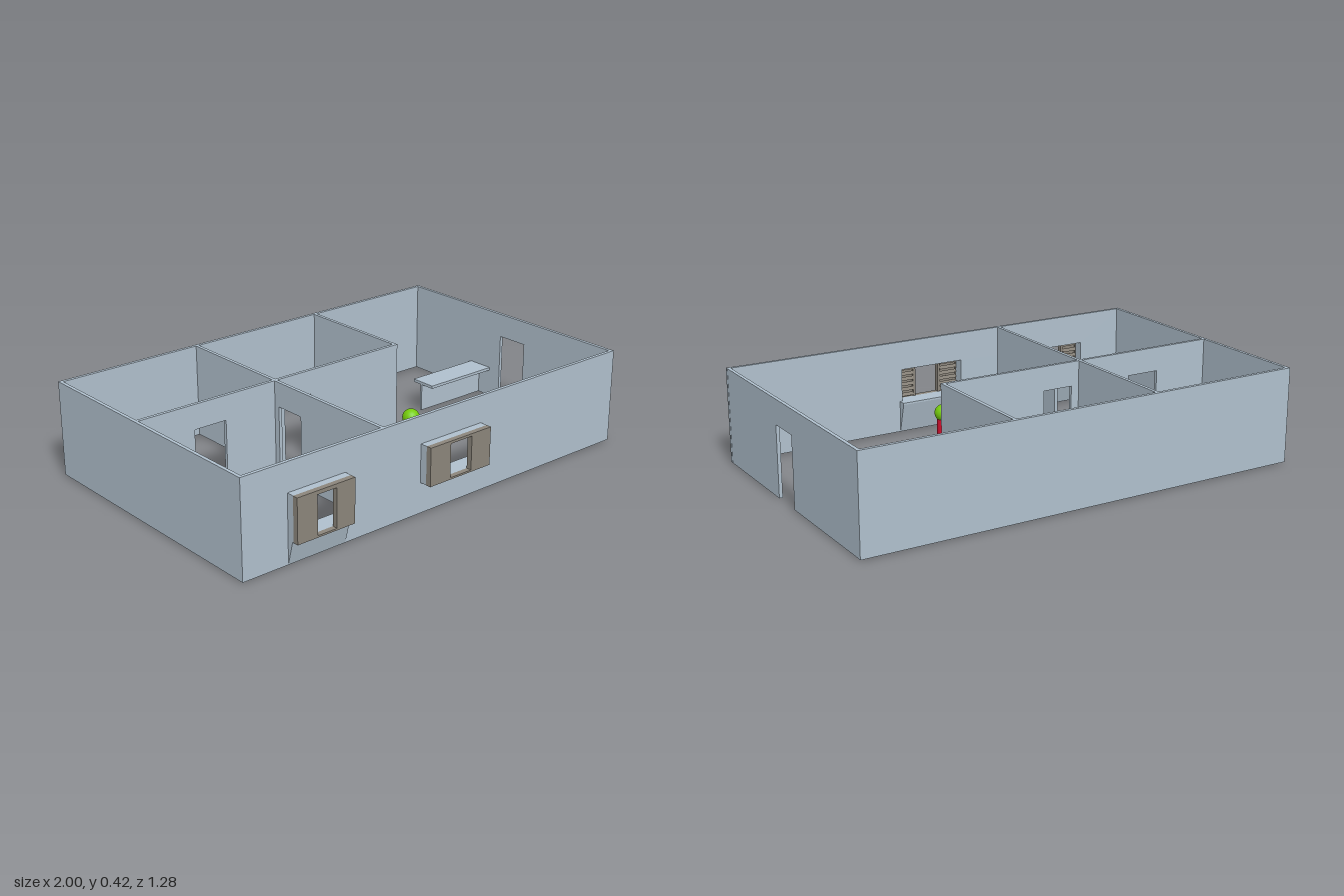
import * as THREE from 'three';

const material = (name, color, opts = {}) => {
  const m = new THREE.MeshStandardMaterial({ color, ...opts });
  m.name = name;
  return m;
};

export function createModel() {
  const model = new THREE.Group();
  model.name = 'floorPlan';
  const wallMat = material('pale blue wall', 0xb0c0cd);
  const shutterMat = material('grey brown shutter', 0x8b857b);
  const redMat = material('red', 0xdc1030);
  const greenMat = material('green', 0x76cc0c);
  const FLOOR = 0.005, TOP = 0.42, T = 0.015, DOOR = 0.313;

  const add = (name, geometry, mat, parent = model) => {
    const mesh = new THREE.Mesh(geometry, mat);
    mesh.name = name;
    parent.add(mesh);
    return mesh;
  };

  // Box given by its limits on each axis
  const box = (name, x0, x1, y0, y1, z0, z1, mat, parent) => {
    const mesh = add(name, new THREE.BoxGeometry(x1 - x0, y1 - y0, z1 - z0), mat, parent);
    mesh.position.set((x0 + x1) / 2, (y0 + y1) / 2, (z0 + z1) / 2);
    return mesh;
  };

  // Wall from a to b along one axis; doors are notches, windows are holes
  const wall = (name, axis, at, a, b, doors = [], windows = []) => {
    const s = new THREE.Shape();
    s.moveTo(a, FLOOR);
    for (const [d0, d1] of doors) {
      s.lineTo(d0, FLOOR);
      s.lineTo(d0, DOOR);
      s.lineTo(d1, DOOR);
      s.lineTo(d1, FLOOR);
    }
    s.lineTo(b, FLOOR);
    s.lineTo(b, TOP);
    s.lineTo(a, TOP);
    s.closePath();
    for (const [x0, x1, y0, y1] of windows) {
      const h = new THREE.Path();
      h.moveTo(x0, y0);
      h.lineTo(x0, y1);
      h.lineTo(x1, y1);
      h.lineTo(x1, y0);
      h.closePath();
      s.holes.push(h);
    }
    const g = new THREE.ExtrudeGeometry(s, { depth: T, bevelEnabled: false });
    g.translate(0, 0, -T / 2);
    const mesh = add(name, g, wallMat);
    if (axis === 'z') {
      mesh.rotation.y = -Math.PI / 2;
      mesh.position.x = at;
    } else mesh.position.z = at;
  };

  // Window bays: outer limits, and the gap between the shutters
  const bays = [
    { x0: -0.79, x1: -0.515, y0: 0.107, y1: 0.297, g0: -0.695, g1: -0.603, h0: 0.115, h1: 0.281, outerSkirt: true },
    { x0: -0.13, x1: 0.197, y0: 0.138, y1: 0.303, g0: -0.022, g1: 0.092, h0: 0.146, h1: 0.292 },
  ];

  // Outer walls
  wall('frontWall', 'x', 0.578, -1, 1, [], bays.map(b => [b.x0 + 0.012, b.x1 - 0.012, b.h0, b.h1]));
  wall('backWall', 'x', -0.635, -1, 1);
  wall('leftWall', 'z', 0.9915, -0.642, 0.5855, [[-0.067, 0.08]]);
  wall('rightWall', 'z', -0.9925, -0.642, 0.5855);

  // Inner walls
  wall('longPartition', 'z', -0.32, -0.635, 0.578, [[-0.051, 0.09]]);
  wall('shortPartition', 'z', 0.341, -0.635, -0.078);
  wall('crossPartition', 'x', -0.085, -1, 0.348, [[-0.727, -0.575], [-0.276, -0.138]]);

  // Sloping skirt below a sill: a triangle of (z, y) points run along x
  const skirt = (name, x0, x1, points, parent) => {
    const s = new THREE.Shape(points.map(([z, y]) => new THREE.Vector2(z, y)));
    const g = new THREE.ExtrudeGeometry(s, { depth: x1 - x0, bevelEnabled: false });
    g.rotateY(-Math.PI / 2);
    g.translate(x1, 0, 0);
    add(name, g, wallMat, parent);
  };

  for (const b of bays) {
    const bay = new THREE.Group();
    bay.name = 'windowBay';
    model.add(bay);
    const { x0, x1, y0, y1, g0, g1, h0, h1 } = b;

    // Sill, lintel and cheeks
    box('sill', x0, x1, y0, h0, 0.537, 0.618, wallMat, bay);
    box('lintel', x0, x1, h1, y1, 0.585, 0.618, wallMat, bay);
    box('cheek', x0, x0 + 0.01, h0, h1, 0.585, 0.618, wallMat, bay);
    box('cheek', x1 - 0.01, x1, h0, h1, 0.585, 0.618, wallMat, bay);

    // Shutter panel with its opening
    box('shutter', x0, g0, y0, y1, 0.628, 0.642, shutterMat, bay);
    box('shutter', g1, x1, y0, y1, 0.628, 0.642, shutterMat, bay);
    box('shutterTopRail', g0, g1, h1, y1, 0.628, 0.642, shutterMat, bay);
    box('shutterBottomRail', g0, g1, y0, h0, 0.628, 0.642, shutterMat, bay);
    box('topFrame', x0, x1, h1, y1, 0.618, 0.628, shutterMat, bay);
    box('bottomFrame', x0, x1, y0, h0, 0.618, 0.628, shutterMat, bay);

    // Stiles and slats on the inner face of each shutter
    for (const [s0, s1] of [[x0, g0], [g1, x1]]) {
      box('stile', s0, s0 + 0.012, h0, h1, 0.618, 0.628, shutterMat, bay);
      box('stile', s1 - 0.012, s1, h0, h1, 0.618, 0.628, shutterMat, bay);
      for (let i = 0; i < 6; i++) {
        const y = h0 + (i + 0.5) * (h1 - h0) / 6;
        const slat = box('slat', s0 + 0.012, s1 - 0.012, y - 0.008, y + 0.008, 0.618, 0.623, shutterMat, bay);
        slat.rotation.x = 0.3;
      }
    }

    // Skirts below the sill
    skirt('innerSkirt', x0, x1, [[0.571, FLOOR], [0.571, y0], [0.537, y0]], bay);
    if (b.outerSkirt) skirt('outerSkirt', x0, x1, [[0.585, FLOOR], [0.612, y0], [0.585, y0]], bay);
  }

  // Bench against the left wall
  box('benchSeat', 0.613, 0.985, 0.13, 0.143, -0.25, -0.128, wallMat);
  box('benchSupport', 0.613, 0.985, FLOOR, 0.13, -0.206, -0.196, wallMat);

  // Post with a ball on top
  const post = add('post', new THREE.CylinderGeometry(0.027, 0.027, 0.185, 32), redMat);
  post.position.set(0.195, 0.0925, 0.18);
  const ball = add('ball', new THREE.SphereGeometry(0.037, 32, 20), greenMat);
  ball.position.set(0.195, 0.2, 0.18);

  return model;
}
